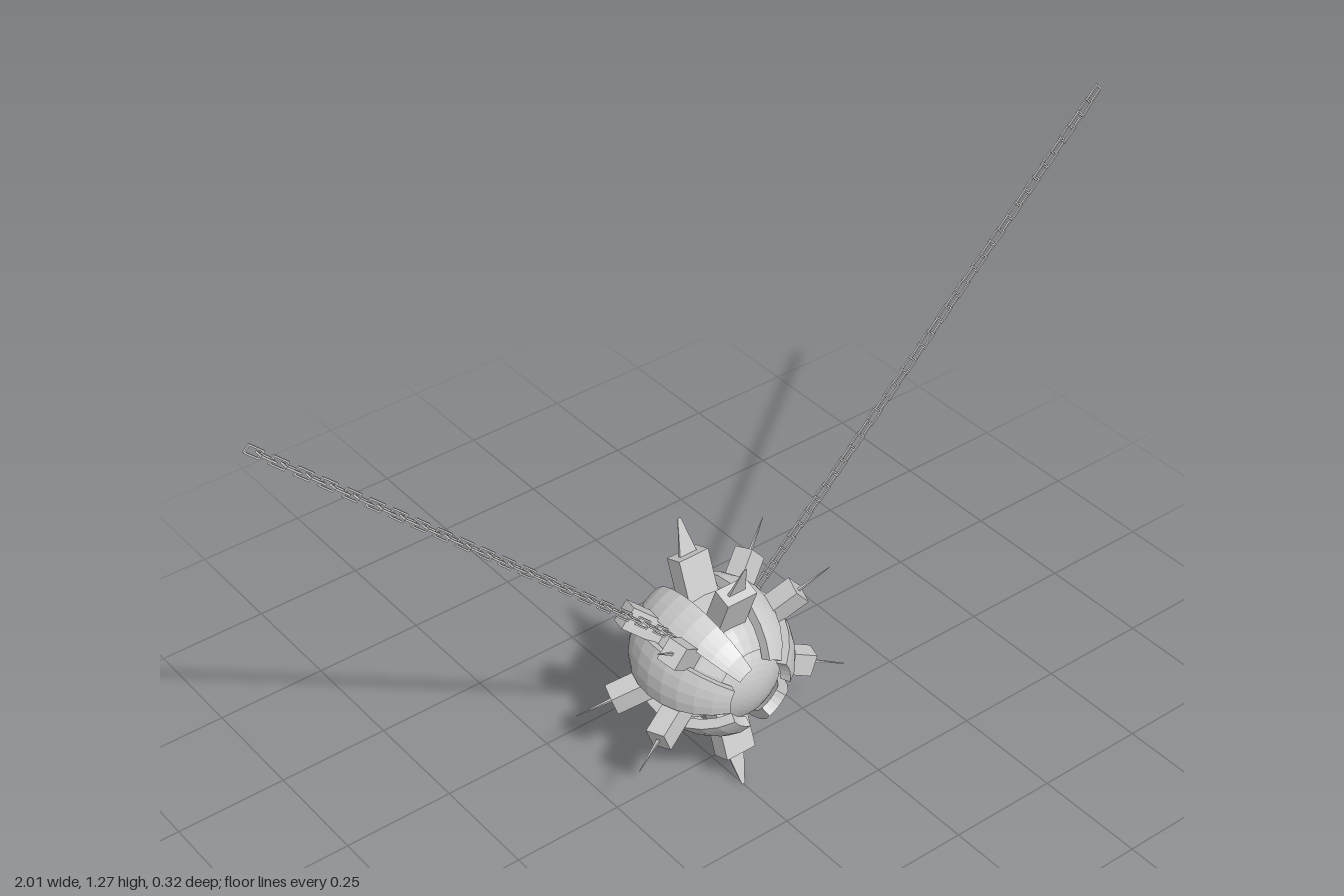
import * as THREE from 'three';

const RAD = Math.PI / 180;
const CENTRE_Y = 0.287;

export function createModel() {
  const root = new THREE.Group();
  const material = new THREE.MeshStandardMaterial({ color: 0xcccccc, flatShading: true });
  const add = (parent, name, geometry) => {
    const mesh = new THREE.Mesh(geometry, material);
    mesh.name = name;
    parent.add(mesh);
    return mesh;
  };

  const ball = new THREE.Group();
  ball.name = 'ball';
  ball.position.y = CENTRE_Y;
  root.add(ball);

  // Inner core, with its poles on the z axis, and a raised middle band
  add(ball, 'core', new THREE.SphereGeometry(0.128, 24, 16).rotateX(Math.PI / 2));
  add(ball, 'coreBand', new THREE.CylinderGeometry(0.138, 0.138, 0.05, 24).rotateX(Math.PI / 2));

  // Curved armour plates running front to back, stopping short of the poles
  const plate = (centre, half) => {
    const g = new THREE.BoxGeometry(2, 1, 2, 4, 1, 10);
    const p = g.attributes.position;
    for (let i = 0; i < p.count; i++) {
      const lat = p.getZ(i) * 62 * RAD;
      const a = (centre - p.getX(i) * half) * RAD;
      const r = p.getY(i) > 0 ? 0.167 : 0.145;
      p.setXYZ(i, r * Math.cos(lat) * Math.cos(a), r * Math.cos(lat) * Math.sin(a), 1.08 * r * Math.sin(lat));
    }
    g.computeVertexNormals();
    return g;
  };
  for (const [centre, half] of [[60, 13], [11.5, 20], [-52, 20]]) {
    add(ball, 'armourPlate', plate(centre, half));
    add(ball, 'armourPlate', plate(180 - centre, half));
  }

  // Front dome and back hub, seen through the openings between the plate tips
  add(ball, 'frontDome', new THREE.SphereGeometry(0.146, 24, 6, 0, Math.PI * 2, 0, 34 * RAD).rotateX(Math.PI / 2));
  add(ball, 'backHub', new THREE.CylinderGeometry(0.03, 0.03, 0.03, 16).rotateX(Math.PI / 2)).position.z = -0.122;
  add(ball, 'backRing', new THREE.TorusGeometry(0.05, 0.008, 6, 20)).position.z = -0.125;

  // Spiked blocks: a pair, one forward and one back, in each gap between plates
  for (const angle of [90, 270, 40, 140, -20, 200]) {
    const vertical = angle === 90 || angle === 270;
    for (const side of [1, -1]) {
      const spiked = new THREE.Group();
      spiked.name = 'spikedBlock';
      spiked.rotation.set(side * 20.4 * RAD, 0, (angle - 90) * RAD, 'ZYX');
      const block = new THREE.BoxGeometry(vertical ? 0.074 : 0.05, 0.12, 0.044);
      add(spiked, 'block', block).position.y = 0.167;
      const spike = new THREE.CylinderGeometry(0.25, Math.SQRT2, 0.08, 4).rotateY(Math.PI / 4);
      spike.scale(vertical ? 0.021 : 0.003, 1, 0.003);
      add(spiked, 'spike', spike).position.y = 0.266;
      ball.add(spiked);
    }
  }

  // Chain link: a rectangular frame lying along y
  const rect = (Type, w, h) => {
    const s = new Type();
    s.moveTo(-w, -h).lineTo(w, -h).lineTo(w, h).lineTo(-w, h).closePath();
    return s;
  };
  const linkShape = rect(THREE.Shape, 0.0098, 0.0195);
  linkShape.holes.push(rect(THREE.Path, 0.0062, 0.016));
  const linkGeometry = new THREE.ExtrudeGeometry(linkShape, { depth: 0.004, bevelEnabled: false });
  linkGeometry.translate(0, 0, -0.002);

  // Two chains rising outward from the ball, alternate links turned a quarter
  const count = 40, start = 0.15, end = 1.375;
  for (const side of [1, -1]) {
    const chain = new THREE.Group();
    chain.name = side > 0 ? 'leftChain' : 'rightChain';
    chain.rotation.z = -side * 45.6 * RAD;
    for (let i = 0; i < count; i++) {
      const link = add(chain, 'chainLink', linkGeometry);
      link.position.y = start + ((end - start) * i) / (count - 1);
      link.rotation.y = i % 2 ? 0 : Math.PI / 2;
    }
    ball.add(chain);
  }

  return root;
}
